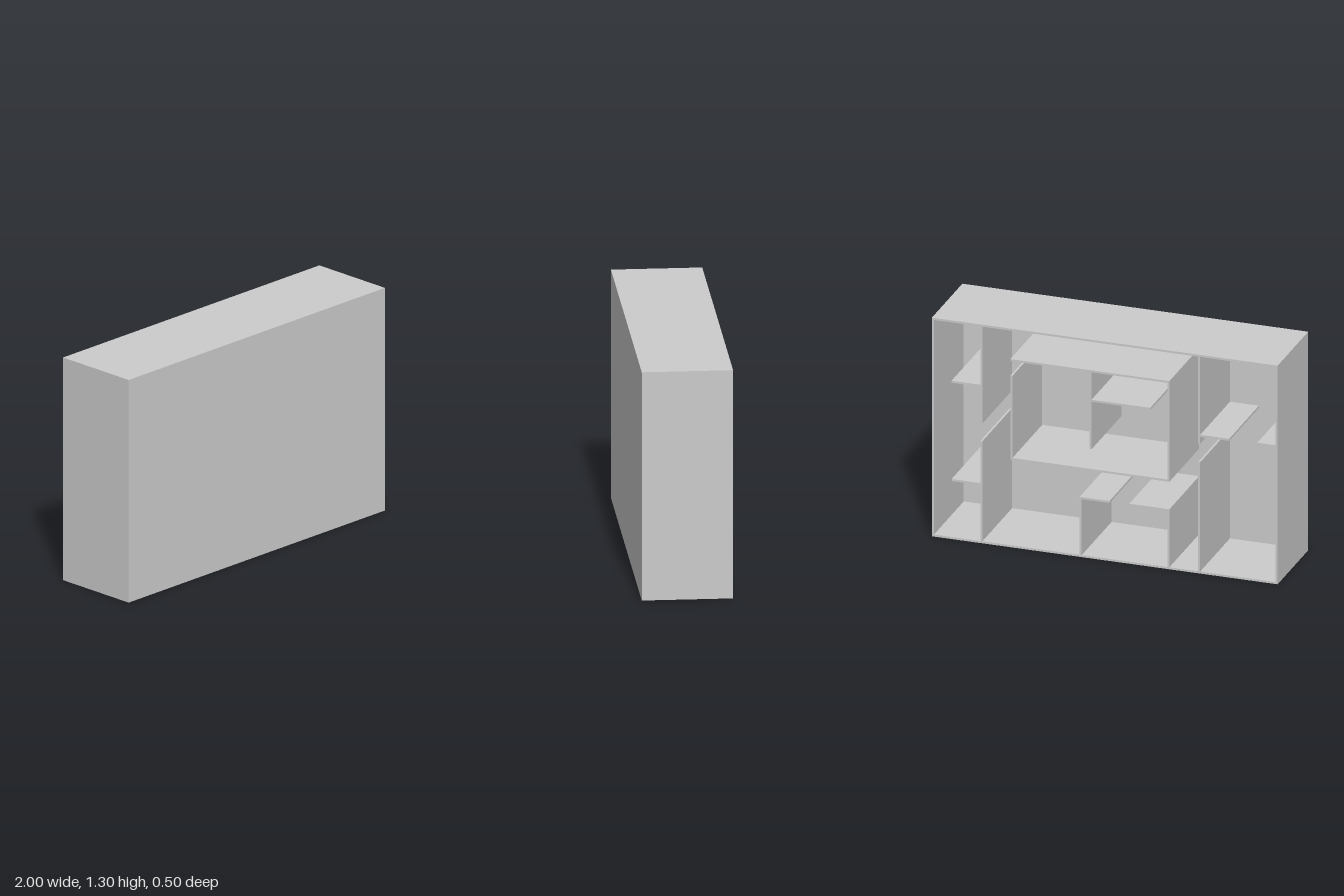
import * as THREE from 'three';

const W = 2, H = 1.297, D = 0.5, T = 0.012;

export function createModel() {
  const group = new THREE.Group();
  const material = new THREE.MeshStandardMaterial({ color: 0xcccccc, flatShading: true });

  const box = (name, x0, x1, y0, y1, z0 = -D / 2, z1 = D / 2 - T) => {
    const mesh = new THREE.Mesh(new THREE.BoxGeometry(x1 - x0, y1 - y0, z1 - z0), material);
    mesh.position.set((x0 + x1) / 2, (y0 + y1) / 2, (z0 + z1) / 2);
    mesh.name = name;
    group.add(mesh);
  };
  // Upright at x from y0 to y1; shelf at height y from x0 to x1
  const upright = (name, x, y0, y1) => box(name, x - T / 2, x + T / 2, y0, y1);
  const shelf = (name, y, x0, x1) => box(name, x0, x1, y - T / 2, y + T / 2);

  // Outer case, open at the back
  box('frontPanel', -W / 2, W / 2, 0, H, D / 2 - T, D / 2);
  box('bottomPanel', -W / 2, W / 2, 0, T);
  box('topPanel', -W / 2, W / 2, H - T, H);
  box('leftSide', W / 2 - T, W / 2, T, H - T);
  box('rightSide', -W / 2, -W / 2 + T, T, H - T);

  // Left bay: split divider with two short shelves
  upright('leftDividerLower', 0.714, T, 0.605);
  upright('leftDividerUpper', 0.714, 0.71, H - T);
  for (const y of [0.35, 0.933]) shelf('leftBayShelf', y, 0.72, 0.886);

  // Right bay: split divider with a shelf broken by a gap
  upright('rightDividerLower', -0.546, T, 0.66);
  upright('rightDividerUpper', -0.546, 0.77, H - T);
  shelf('rightBayInnerShelf', 0.817, -0.72, -0.552);
  shelf('rightBayOuterShelf', 0.817, -1 + T, -0.882);

  // Central compartment with a slot above its left wall
  shelf('centreTop', 1.11, -0.374, 0.546);
  shelf('centreFloor', 0.525, -0.374, 0.546);
  upright('centreLeftWall', 0.54, 0.531, 1.018);
  upright('centreRightWall', -0.368, 0.531, 1.104);
  upright('hangingDivider', 0.082, 0.648, 1.104);
  shelf('hangingShelf', 0.936, -0.264, 0.076);

  // Low stands below the central compartment
  upright('lowStandLeftWall', 0.139, T, 0.344);
  shelf('lowStandLeftShelf', 0.35, -0.028, 0.145);
  upright('lowStandRightWall', -0.368, T, 0.344);
  shelf('lowStandRightShelf', 0.35, -0.374, -0.142);

  return group;
}
